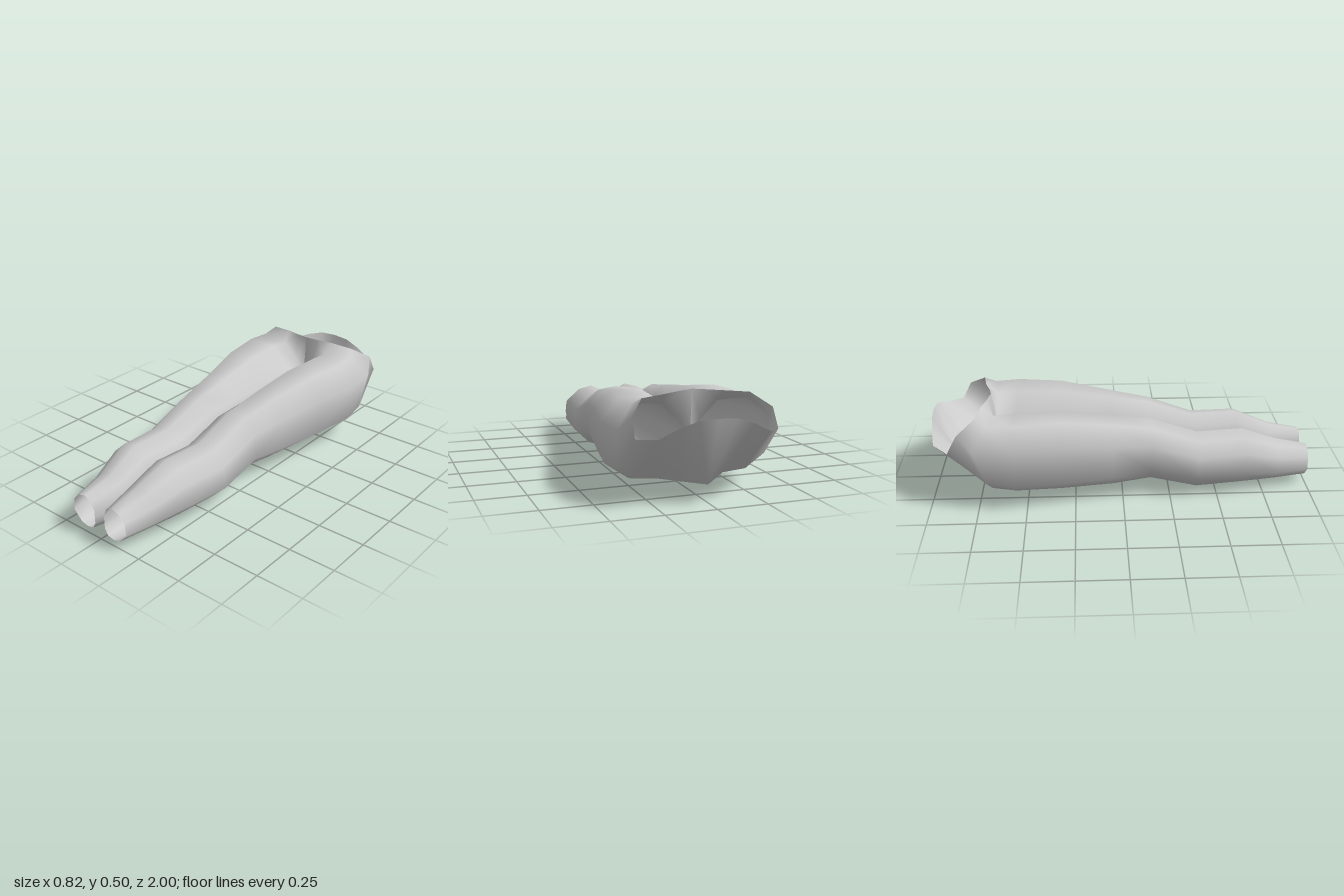
import * as THREE from 'three';

// Unit cross-sections, from inner top over the outer side to the inner bottom, then the inner wall
const CALF = [[0, .64], [.13, .88], [.4, 1], [.7, .93], [.95, .72], [1, .35], [.68, .06], [.38, 0], [.12, .05], [0, .24], [0, .44]];
const THIGH = [[0, .52], [.05, .72], [.35, 1], [.76, 1], [1, .74], [.95, .22], [.67, .02], [.46, 0], [.2, .03], [0, .08], [0, .3]];

// Leg sections: z, inner x, outer x, bottom y, top y, blend from calf to thigh
const SECTIONS = [
  [1, .033, .178, .035, .21, 0],
  [.83, .003, .215, .018, .242, 0],
  [.64, 0, .268, .015, .316, 0],
  [.4, 0, .28, 0, .303, .1],
  [.15, 0, .283, .06, .385, .4],
  [-.05, 0, .31, .04, .412, .7],
  [-.32, 0, .365, .042, .445, 1],
  [-.56, 0, .41, .05, .445, 1],
];

// Hip ring around the crotch with the seat pointed at the back, and the open waist rim
const HIP = [[0, .25, -.67], [.05, .34, -.67], [.14, .43, -.67], [.3, .44, -.69], [.39, .34, -.76], [.38, .16, -.7],
  [.29, .085, -.68], [.17, .075, -.68], [.08, .08, -.79], [0, .085, -.89], [0, .17, -.74]];
const RIM = [[0, .495, -.69], [.07, .49, -.705], [.15, .485, -.73], [.27, .475, -.75], [.345, .415, -.84],
  [.35, .32, -.89], [.27, .33, -.97], [.18, .375, -.985], [.09, .405, -.995], [0, .41, -1]];

const legRing = ([z, x0, x1, y0, y1, t]) => CALF.map(([u, v], i) => [
  THREE.MathUtils.lerp(x0, x1, THREE.MathUtils.lerp(u, THIGH[i][0], t)),
  THREE.MathUtils.lerp(y0, y1, THREE.MathUtils.lerp(v, THIGH[i][1], t)),
  z,
]);

// One leg with its half of the hips; side is +1 or -1
function halfGeometry(side) {
  const n = CALF.length;
  const rings = [...SECTIONS.map(legRing), HIP, RIM];
  const index = [];
  const tri = (a, b, c) => (side > 0 ? index.push(a, b, c) : index.push(a, c, b));
  for (let r = 0; r < rings.length - 1; r++) {
    // The inner wall stops at the crotch, so the hip strip is open
    const columns = rings[r] === HIP ? n - 2 : n;
    for (let i = 0; i < columns; i++) {
      const j = (i + 1) % n, a = r * n, b = a + n;
      tri(a + i, a + j, b + i);
      tri(a + j, b + j, b + i);
    }
  }
  const geometry = new THREE.BufferGeometry();
  const points = rings.flat().flatMap(([x, y, z]) => [x * side, y, z]);
  geometry.setAttribute('position', new THREE.Float32BufferAttribute(points, 3));
  geometry.setIndex(index);
  geometry.computeVertexNormals();
  // Level the normals along the centre seam of the waist and seat
  const normal = geometry.attributes.normal;
  const rim = (rings.length - 1) * n;
  for (const k of [rim, rim + n - 2, rim - 2]) {
    const v = new THREE.Vector3(0, normal.getY(k), normal.getZ(k)).normalize();
    normal.setXYZ(k, v.x, v.y, v.z);
  }
  return geometry;
}

export function createModel() {
  const group = new THREE.Group();
  group.name = 'trousers';
  const cloth = new THREE.MeshStandardMaterial({ color: 0xcccccc, side: THREE.DoubleSide });
  for (const [name, side] of [['leftTrouserLeg', 1], ['rightTrouserLeg', -1]]) {
    const mesh = new THREE.Mesh(halfGeometry(side), cloth);
    mesh.name = name;
    group.add(mesh);
  }
  return group;
}
